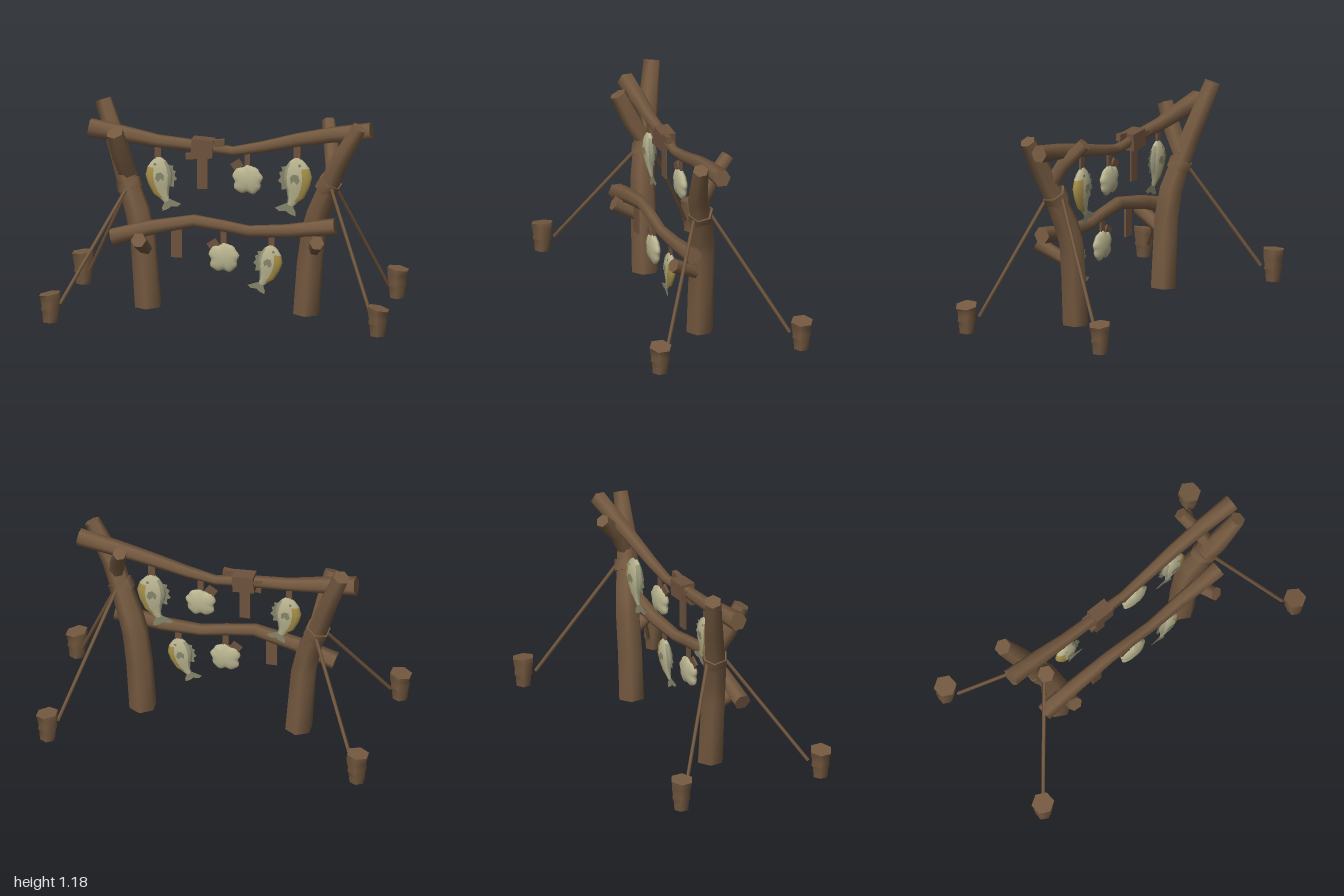
import * as THREE from 'three';
import { mergeVertices } from 'three/addons/utils/BufferGeometryUtils.js';

const mat = (name, color, side = THREE.FrontSide) => {
  const m = new THREE.MeshStandardMaterial({ color, side });
  m.name = name;
  return m;
};

export function createModel() {
  const model = new THREE.Group();
  model.name = 'fishDryingRack';
  const wood = mat('wood', 0x745940);
  const strap = mat('strap', 0x6d523d);
  const flesh = mat('fishSkin', 0xb9b490);
  const belly = mat('fishBelly', 0xa8914a);
  const back = mat('fishBack', 0x97967a);
  const fin = mat('fishFin', 0x85846a, THREE.DoubleSide);

  const add = (name, geo, material, parent = model) => {
    const m = new THREE.Mesh(geo, material);
    m.name = name;
    parent.add(m);
    return m;
  };

  // Skin over closed rings of points, smooth sides and flat caps;
  // pick(i, t) chooses the material index of each face
  function skin(rings, pick = () => 0) {
    const n = rings[0].length, pos = [], faces = [[], [], []];
    rings.forEach(r => r.forEach(p => pos.push(p.x, p.y, p.z)));
    for (let i = 0; i < rings.length - 1; i++) for (let j = 0; j < n; j++) {
      const k = (j + 1) % n, a = i * n + j, b = i * n + k;
      faces[pick(i, (j + 0.5) / n)].push(a, b, b + n, a, b + n, a + n);
    }
    [0, rings.length - 1].forEach(i => {
      const c = new THREE.Vector3(), start = pos.length / 3;
      rings[i].forEach(p => { pos.push(p.x, p.y, p.z); c.addScaledVector(p, 1 / n); });
      pos.push(c.x, c.y, c.z);
      for (let j = 0; j < n; j++) {
        const a = start + j, b = start + (j + 1) % n;
        faces[0].push(start + n, i ? a : b, i ? b : a);
      }
    });
    const g = new THREE.BufferGeometry();
    g.setAttribute('position', new THREE.Float32BufferAttribute(pos, 3));
    g.setIndex(faces.flat());
    let at = 0;
    faces.forEach((f, i) => { if (f.length) g.addGroup(at, f.length, i); at += f.length; });
    g.computeVertexNormals();
    return g;
  }

  // Six-sided log through points [x, y, z, radius]
  function log(name, pts, material = wood, sides = 6) {
    const v = pts.map(p => new THREE.Vector3(p[0], p[1], p[2]));
    const rings = v.map((c, i) => {
      const t = v[Math.min(i + 1, v.length - 1)].clone().sub(v[Math.max(i - 1, 0)]).normalize();
      const ref = Math.abs(t.z) > 0.85 ? new THREE.Vector3(1, 0, 0) : new THREE.Vector3(0, 0, 1);
      const u = ref.addScaledVector(t, -ref.dot(t)).normalize();
      const w = t.clone().cross(u);
      return Array.from({ length: sides }, (_, j) => {
        const a = j / sides * Math.PI * 2;
        const p = c.clone().addScaledVector(u, Math.cos(a) * pts[i][3]).addScaledVector(w, Math.sin(a) * pts[i][3]);
        p.y = Math.max(0, p.y);
        return p;
      });
    });
    return add(name, skin(rings), [material]);
  }

  // Forked posts
  log('leftPost', [[0.455, 0, 0.01, 0.08], [0.475, 0.3, 0.01, 0.078], [0.5, 0.5, 0.01, 0.075], [0.53, 0.6, 0.025, 0.073],
    [0.6, 0.78, 0.06, 0.062], [0.655, 0.91, 0.095, 0.06], [0.78, 1.13, 0.125, 0.046]]);
  log('leftFork', [[0.62, 0.86, 0.06, 0.045], [0.6, 0.97, 0, 0.045], [0.56, 1.1, -0.12, 0.04]]);
  log('rightPost', [[-0.455, 0, 0, 0.08], [-0.485, 0.4, 0, 0.076], [-0.52, 0.56, -0.01, 0.073],
    [-0.58, 0.72, -0.04, 0.064], [-0.64, 0.9, -0.085, 0.06], [-0.74, 1.16, -0.148, 0.05]]);
  log('rightFork', [[-0.58, 0.76, -0.04, 0.052], [-0.605, 0.88, 0.03, 0.055], [-0.63, 1.03, 0.1, 0.05]]);

  // Rope bindings on the posts
  log('leftBinding', [[0.575, 0.74, 0.047, 0.073], [0.605, 0.795, 0.06, 0.073]]);
  log('rightBinding', [[-0.56, 0.67, -0.03, 0.074], [-0.58, 0.725, -0.042, 0.074]]);

  // Crossbeams
  log('upperBeam', [[-0.795, 1.025, -0.015, 0.056], [-0.6, 1.0, -0.012, 0.048], [-0.4, 0.968, -0.005, 0.038],
    [-0.15, 0.95, 0, 0.034], [0.03, 0.928, 0, 0.028], [0.2, 0.96, 0, 0.034], [0.4, 1.01, 0, 0.04],
    [0.6, 1.05, 0.005, 0.046], [0.83, 1.085, 0.015, 0.052]]);
  log('lowerBeam', [[-0.645, 0.42, 0.1, 0.052], [-0.42, 0.49, 0.11, 0.044], [-0.17, 0.543, 0.12, 0.037],
    [0.0, 0.52, 0.12, 0.034], [0.14, 0.495, 0.12, 0.034], [0.36, 0.505, 0.115, 0.04], [0.64, 0.545, 0.118, 0.05]]);

  // Pegs carrying the lower beam
  log('leftPeg', [[0.5, 0.37, 0.02, 0.035], [0.55, 0.465, 0.205, 0.042]]);
  log('rightPeg', [[-0.46, 0.33, 0.01, 0.038], [-0.48, 0.43, 0.18, 0.045]]);

  // Ground stakes and guy ropes
  const stakes = [[0.94, 0.43, 0.16], [0.9, -0.44, 0.17], [-0.94, 0.44, 0.165], [-0.905, -0.45, 0.185]];
  stakes.forEach(([x, z, h]) => {
    const s = Math.sign(x), d = Math.sign(z);
    log('stake', [[x, 0, z, 0.045], [x, 0.065, z, 0.051], [x, 0.075, z, 0.058], [x, 0.1, z, 0.054],
      [x, 0.14, z, 0.062], [x + s * 0.005, h, z, 0.066]]);
    const top = s > 0 ? [0.61, 0.77, 0.05 + d * 0.05] : [-0.57, 0.7, -0.035 + d * 0.05];
    log('guyRope', [[...top, 0.011], [x - s * 0.045, 0.09, z - d * 0.055, 0.011]], wood, 5);
  });

  // Hanging straps: [x, bottom, top, width, z]
  [[-0.4, 0.85, 0.96, 0.036, 0], [-0.143, 0.7, 0.93, 0.06, 0], [0.115, 0.83, 0.95, 0.034, 0], [0.402, 0.88, 1.0, 0.04, 0],
    [-0.27, 0.325, 0.53, 0.064, 0.12], [0, 0.4, 0.52, 0.034, 0.12], [0.275, 0.4, 0.5, 0.036, 0.12]].forEach(([x, y0, y1, w, z]) => {
    add('hangingStrap', new THREE.BoxGeometry(w, y1 - y0, 0.012), strap).position.set(x, (y0 + y1) / 2, z);
  });

  // Loose strap ends and the binding mid-beam: [x, y, z, w, h, d, tilt]
  [[0.055, 0.85, 0, 0.06, 0.045, 0.012, 0.6], [-0.06, 0.41, 0.12, 0.06, 0.045, 0.012, 0.6],
    [-0.14, 0.945, 0, 0.125, 0.1, 0.085, -0.06], [-0.165, 0.897, 0.02, 0.14, 0.03, 0.04, 0.06],
    [-0.07, 0.975, 0.02, 0.12, 0.04, 0.03, 0.1], [-0.2, 0.96, -0.02, 0.09, 0.03, 0.03, -0.1]].forEach(([x, y, z, w, h, d, tilt]) => {
    const m = add('strapBinding', new THREE.BoxGeometry(w, h, d), strap);
    m.position.set(x, y, z);
    m.rotation.z = tilt;
  });

  // Fish, hung by the mouth: spine [x, y, half height, half thickness]
  const spine = [[0, 0.005, 0.015, 0.01], [0, -0.02, 0.045, 0.02], [0.002, -0.055, 0.07, 0.029], [0.003, -0.105, 0.084, 0.033],
    [0, -0.16, 0.074, 0.028], [-0.01, -0.205, 0.052, 0.019], [-0.025, -0.245, 0.028, 0.011], [-0.04, -0.275, 0.017, 0.005]];
  const bodyGeo = skin(spine.map(([x, y, a, b], i) => Array.from({ length: 16 }, (_, j) => {
    const t = j / 16 * Math.PI * 2, tilt = i > 4 ? 0.45 : 0;
    return new THREE.Vector3(x + Math.cos(t) * a, y - Math.cos(t) * a * tilt, Math.sin(t) * b);
  })), (i, t) => {
    const c = Math.cos(t * Math.PI * 2);
    return c > 0.5 && i > 1 && i < 6 ? 1 : c < -0.7 && i > 0 ? 2 : 0;
  });
  const flat = pts => new THREE.ShapeGeometry(new THREE.Shape(pts.map(p => new THREE.Vector2(...p))));
  const tailGeo = flat([[-0.045, -0.255], [-0.085, -0.272], [-0.128, -0.292], [-0.105, -0.31], [-0.066, -0.308],
    [-0.045, -0.325], [-0.01, -0.338], [-0.008, -0.315], [-0.024, -0.28]]);
  const dorsalGeo = flat([[-0.055, -0.045], [-0.09, -0.05], [-0.084, -0.075], [-0.104, -0.085], [-0.094, -0.11],
    [-0.11, -0.135], [-0.088, -0.15], [-0.09, -0.185], [-0.06, -0.18], [-0.06, -0.1]]);
  const sideFinGeo = flat([[0.012, -0.09], [-0.015, -0.085], [-0.035, -0.105], [-0.03, -0.14], [-0.012, -0.125],
    [0.005, -0.145], [0.022, -0.125]]);
  const eyeGeo = new THREE.CircleGeometry(0.009, 10);

  [[-0.395, 0.87, 0, -0.92, 0.92, 0.04], [0.4, 0.9, 0, 1, 1, 0], [0.275, 0.415, 0.12, 0.85, 0.85, -0.12]].forEach(([x, y, z, sx, s, tilt]) => {
    const fish = new THREE.Group();
    fish.name = 'fish';
    fish.position.set(x, y, z);
    fish.scale.set(sx, s, s);
    fish.rotation.z = tilt;
    add('fishBody', bodyGeo, [flesh, belly, back], fish);
    add('tailFin', tailGeo, fin, fish);
    add('dorsalFin', dorsalGeo, fin, fish);
    [1, -1].forEach(d => {
      const f = add('sideFin', sideFinGeo, fin, fish);
      f.position.z = d * 0.036;
      const e = add('eye', eyeGeo, fin, fish);
      e.position.set(0.02, -0.035, d * 0.027);
    });
    model.add(fish);
  });

  // Lumpy flat fillets
  let blob = new THREE.SphereGeometry(1, 28, 16);
  blob.deleteAttribute('uv');
  blob.deleteAttribute('normal');
  blob = mergeVertices(blob, 1e-4);
  const p = blob.attributes.position;
  for (let i = 0; i < p.count; i++) {
    const t = Math.atan2(p.getY(i), p.getX(i));
    const k = 1 + 0.06 * Math.sin(5 * t + 0.6) + 0.05 * Math.sin(9 * t) + 0.05 * Math.cos(4 * t + 3);
    p.setXYZ(i, p.getX(i) * k * 0.086, p.getY(i) * k * 0.084, p.getZ(i) * 0.03);
  }
  blob.computeVertexNormals();
  [[0.115, 0.765, 0], [0, 0.335, 0.12]].forEach(c => add('fillet', blob, flesh).position.set(...c));

  return model;
}
